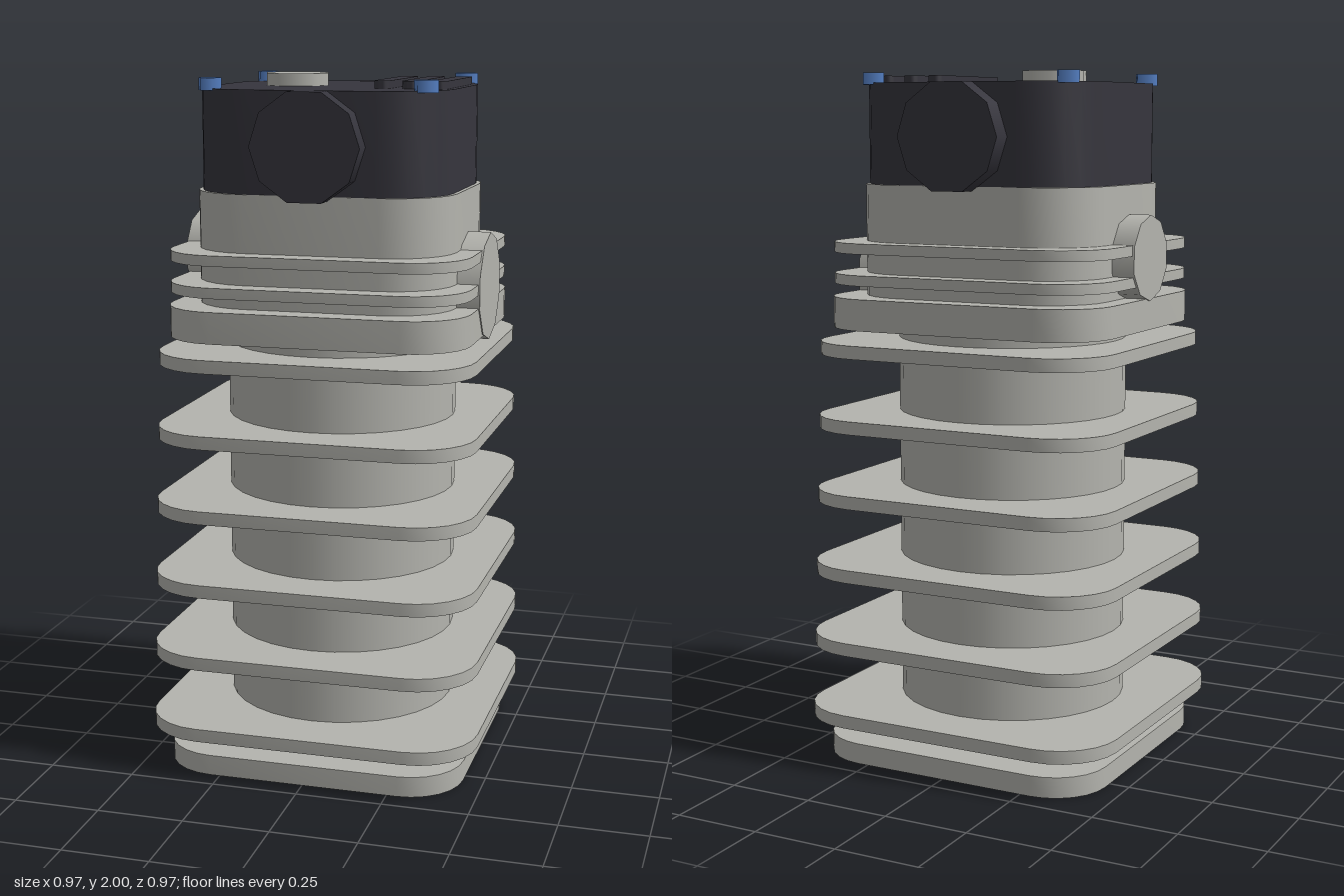
import * as THREE from 'three';
import { toCreasedNormals } from 'three/addons/utils/BufferGeometryUtils.js';

// Rounded rectangle (half sizes hx, hz) standing between y0 and y1
function slabGeometry(hx, hz, r, y0, y1) {
  const s = new THREE.Shape();
  const cx = hx - r, cz = hz - r;
  s.moveTo(hx, -cz);
  s.lineTo(hx, cz);
  s.absarc(cx, cz, r, 0, Math.PI / 2);
  s.lineTo(-cx, hz);
  s.absarc(-cx, cz, r, Math.PI / 2, Math.PI);
  s.lineTo(-hx, -cz);
  s.absarc(-cx, -cz, r, Math.PI, Math.PI * 1.5);
  s.lineTo(cx, -hz);
  s.absarc(cx, -cz, r, Math.PI * 1.5, Math.PI * 2);
  const g = new THREE.ExtrudeGeometry(s, { depth: y1 - y0, bevelEnabled: false, curveSegments: 3 });
  g.rotateX(-Math.PI / 2);
  g.translate(0, y0, 0);
  return toCreasedNormals(g, 0.65);
}

// Cylinder with a corner on the x axis before turning
function discGeometry(r, length, sides) {
  return new THREE.CylinderGeometry(r, r, length, sides, 1, false, Math.PI / 2);
}

export function createModel() {
  const model = new THREE.Group();
  const metal = new THREE.MeshStandardMaterial({ color: 0xb4b4ae });
  metal.name = 'cast metal';
  const dark = new THREE.MeshStandardMaterial({ color: 0x36353d });
  dark.name = 'dark cover';
  const blue = new THREE.MeshStandardMaterial({ color: 0x5580c4 });
  blue.name = 'blue bolt';

  function add(name, geometry, material, x = 0, y = 0, z = 0) {
    const mesh = new THREE.Mesh(geometry, material);
    mesh.name = name;
    mesh.position.set(x, y, z);
    model.add(mesh);
    return mesh;
  }

  // Barrel with its base flange and tapering cooling fins
  add('baseFlange', slabGeometry(0.44, 0.44, 0.16, 0, 0.06), metal);
  add('barrel', discGeometry(0.335, 1.22, 32), metal, 0, 0.66, 0);
  for (let i = 0; i < 6; i++) {
    const h = 0.485 - i * 0.0054;
    const y = 0.137 + i * 0.2155;
    add('barrelFin', slabGeometry(h, h, 0.18, y - 0.019, y + 0.019), metal);
  }

  // Cylinder head with its block and two fins
  add('headBlock', slabGeometry(0.436, 0.41, 0.165, 1.27, 1.36), metal);
  add('headBody', slabGeometry(0.373, 0.337, 0.18, 1.34, 1.68), metal);
  for (const y of [1.412, 1.502])
    add('headFin', slabGeometry(0.434, 0.405, 0.165, y - 0.015, y + 0.015), metal);

  // Side ports
  add('exhaustPort', discGeometry(0.155, 0.145, 10).rotateZ(Math.PI / 2), metal, 0.3665, 1.403, 0);
  add('intakePort', discGeometry(0.122, 0.14, 10).rotateZ(Math.PI / 2), metal, -0.37, 1.475, 0);

  // Rocker cover with round caps front and back
  add('rockerCover', slabGeometry(0.361, 0.334, 0.18, 1.68, 1.965), dark);
  for (const side of [-1, 1])
    add('roundCap', discGeometry(0.156, 0.093, 10).rotateX(Math.PI / 2), dark, 0, 1.816, side * 0.3475);

  // Details on top of the cover
  add('fillerCap', discGeometry(0.093, 0.045, 10), metal, -0.135, 1.9775, 0);
  for (const x of [0.16, 0.24, 0.32])
    add('coverRib', slabGeometry(0.023, 0.186, 0.0229, 1.955, 1.987), dark, x);
  for (const x of [-0.307, 0.307])
    for (const z of [-0.267, 0.267])
      add('bolt', discGeometry(0.034, 0.034, 6), blue, x, 1.977, z);

  return model;
}
